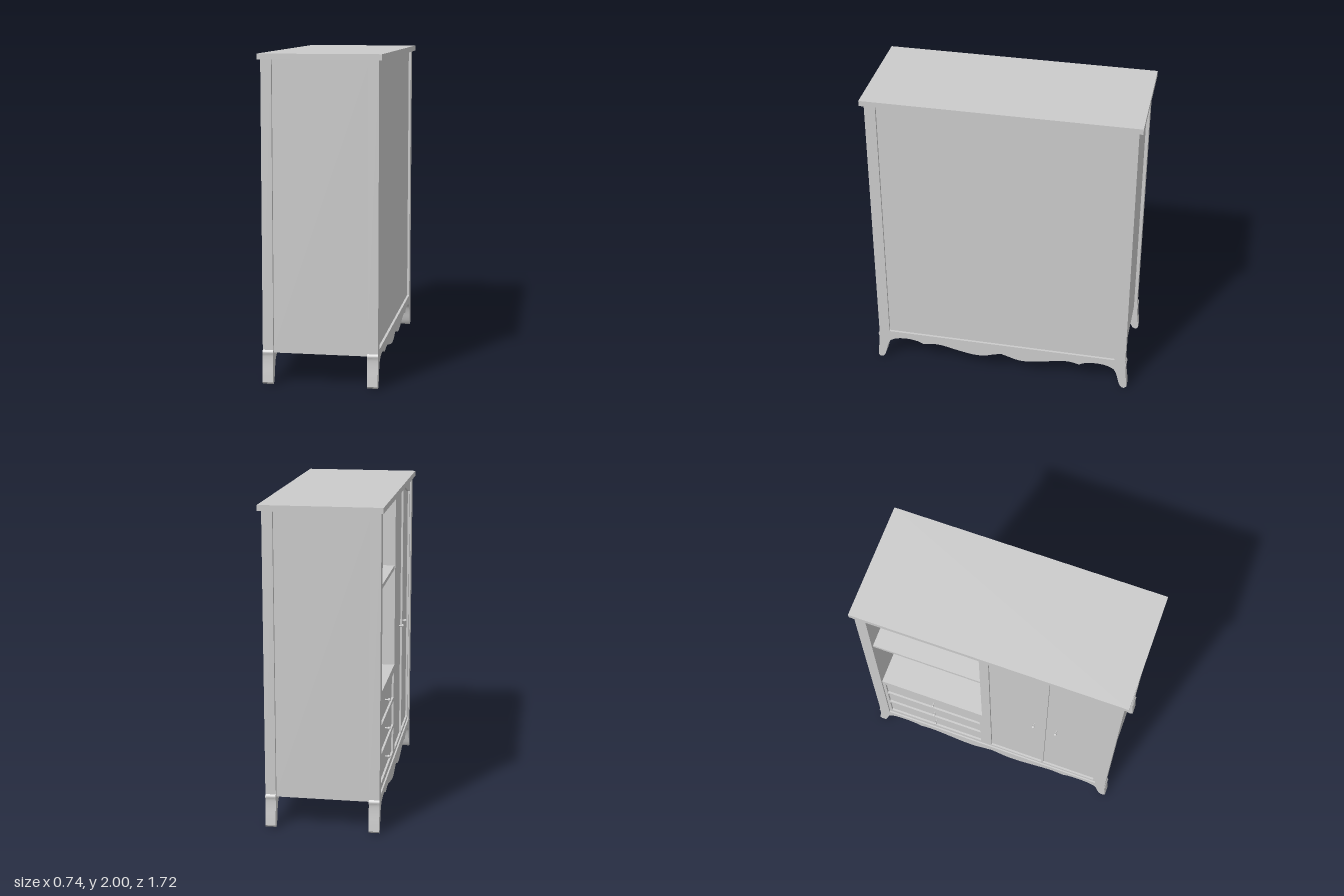
import * as THREE from 'three';
import { toCreasedNormals } from 'three/addons/utils/BufferGeometryUtils.js';

const material = new THREE.MeshStandardMaterial({ color: 0xcccccc });

export function createModel() {
  const model = new THREE.Group();
  model.name = 'cabinet';

  const add = (name, geometry) => {
    const mesh = new THREE.Mesh(geometry, material);
    mesh.name = name;
    model.add(mesh);
    return mesh;
  };
  // Box given by its limits on each axis
  const box = (name, x0, x1, y0, y1, z0, z1) => {
    const g = new THREE.BoxGeometry(x1 - x0, y1 - y0, z1 - z0);
    g.translate((x0 + x1) / 2, (y0 + y1) / 2, (z0 + z1) / 2);
    return add(name, g);
  };
  // Outline drawn in (z, y), extruded along x from x0 to x1
  const board = (name, shape, x0, x1) => {
    const g = new THREE.ExtrudeGeometry(shape, { depth: x1 - x0, bevelEnabled: false, curveSegments: 10 });
    g.rotateY(-Math.PI / 2).translate(x1, 0, 0);
    return add(name, toCreasedNormals(g, 0.6));
  };
  const polygon = (points) => new THREE.Shape(points.map(([z, y]) => new THREE.Vector2(z, y)));
  const rect = (z0, z1, y0, y1) => polygon([[z0, y0], [z1, y0], [z1, y1], [z0, y1]]);
  const smooth = (points, n) =>
    new THREE.SplineCurve(points.map(([z, y]) => new THREE.Vector2(z, y))).getPoints(n).map((p) => [p.x, p.y]);

  // Top slab
  box('top', -0.37, 0.37, 1.965, 2, -0.86, 0.86);

  // Front and back frames: posts, splayed feet and scalloped apron in one outline
  const half = [
    ...smooth([[0, 0.158], [0.05, 0.143], [0.12, 0.123], [0.2, 0.123], [0.3, 0.142], [0.4, 0.164], [0.47, 0.167], [0.53, 0.154]], 28),
    ...smooth([[0.53, 0.154], [0.57, 0.173], [0.64, 0.183], [0.71, 0.176], [0.76, 0.152], [0.782, 0.11], [0.797, 0.05], [0.812, 0.014], [0.835, 0.003], [0.853, 0.018]], 36).slice(1),
    ...smooth([[0.853, 0.018], [0.848, 0.07], [0.841, 0.13], [0.839, 0.18], [0.844, 0.2], [0.835, 0.215]], 14).slice(1),
    [0.835, 1.965], [0.765, 1.965], [0.765, 0.23],
  ];
  const mirrored = half.slice(1).reverse().map(([z, y]) => [-z, y]);
  const frame = polygon([...half, ...mirrored]);
  board('frontFrame', frame, -0.355, -0.29);
  board('backFrame', frame, 0.285, 0.35);

  // Carcass panels
  for (const s of [-1, 1]) {
    box('sidePanel', -0.3, 0.295, 0.195, 1.965, s * 0.79 - 0.025, s * 0.79 + 0.025);
  }
  box('bottomPanel', -0.295, 0.29, 0.195, 0.23, -0.766, 0.766);
  box('backPanel', 0.3, 0.335, 0.225, 1.965, -0.766, 0.766);

  // Open compartment: inner back, divider and shelves
  box('innerBack', 0.11, 0.13, 0.23, 1.965, -0.766, 0.766);
  box('divider', -0.345, 0.11, 0.23, 1.965, -0.06, -0.02);
  box('shelf', -0.34, 0.11, 1.485, 1.51, -0.766, -0.06);
  box('compartmentFloor', -0.345, 0.11, 0.83, 0.855, -0.766, -0.06);

  // Small round knob on a stem
  const knob = (name, y, z) => {
    const stem = new THREE.CylinderGeometry(0.005, 0.005, 0.03, 10);
    stem.rotateZ(Math.PI / 2).translate(-0.342, y, z);
    add(name + 'Stem', stem);
    add(name, new THREE.SphereGeometry(0.01, 14, 10).translate(-0.357, y, z));
  };

  // Drawers set into a rail grid
  const rails = rect(-0.765, -0.06, 0.23, 0.83);
  for (const y of [0.35, 0.537, 0.724]) {
    rails.holes.push(rect(-0.745, -0.08, y - 0.081, y + 0.081));
    box('drawerFront', -0.332, -0.31, y - 0.083, y + 0.083, -0.75, -0.075);
    knob('drawerKnob', y, -0.41);
  }
  board('drawerRails', rails, -0.345, -0.31);

  // Pair of doors under an arched header
  const bay = rect(-0.02, 0.765, 0.23, 1.965);
  const mid = 0.3725;
  for (const s of [-1, 1]) {
    const door = new THREE.Shape();
    door.moveTo(mid + s * 0.006, 0.255);
    door.lineTo(mid + s * 0.374, 0.255);
    door.lineTo(mid + s * 0.374, 1.875);
    door.bezierCurveTo(mid + s * 0.24, 1.885, mid + s * 0.14, 1.945, mid + s * 0.006, 1.945);
    door.closePath();
    bay.holes.push(door);
    board('doorPanel', door, -0.332, -0.31);
    knob('doorKnob', 1.03, mid + s * 0.075);
  }
  board('doorSurround', bay, -0.345, -0.31);

  return model;
}
